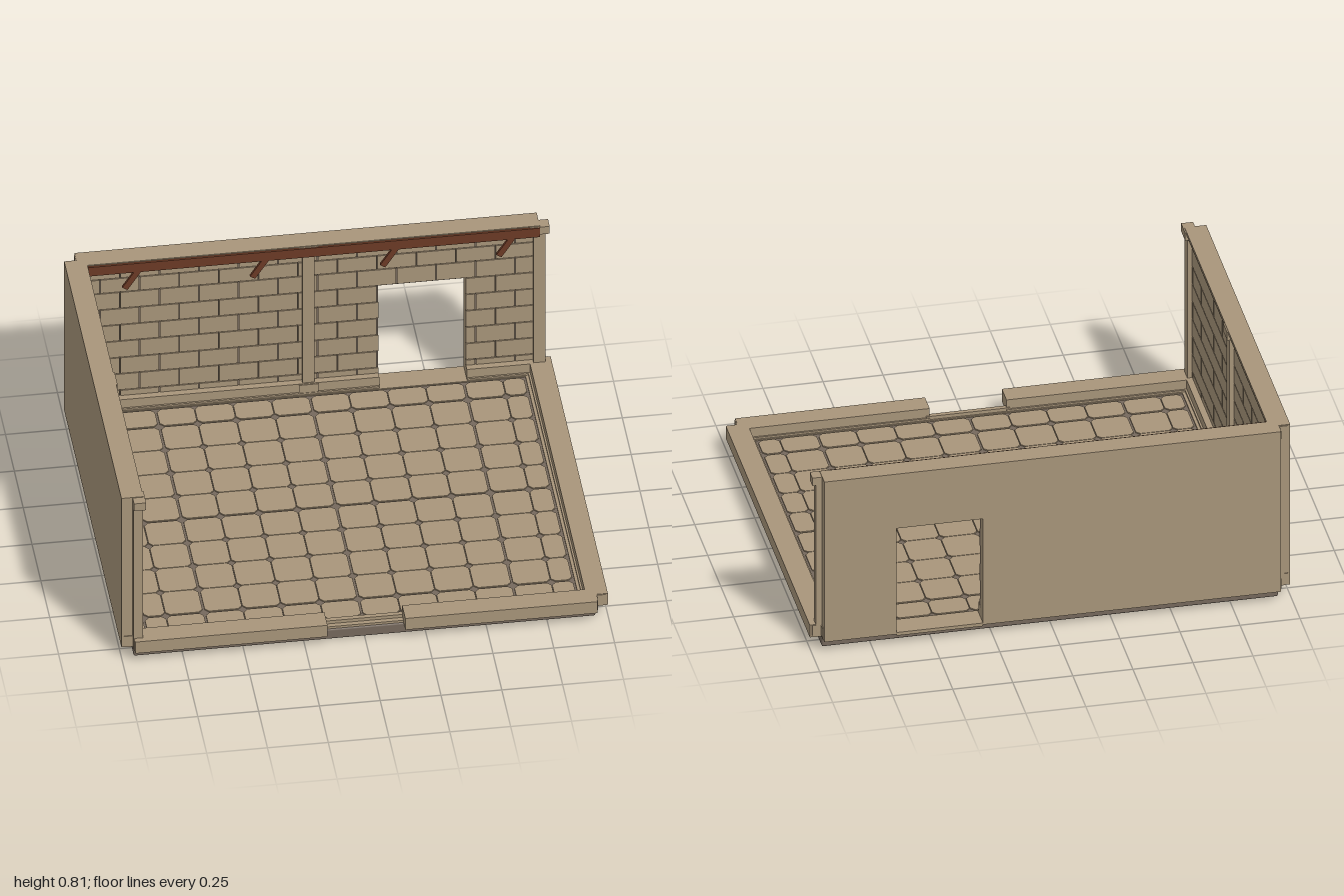
import * as THREE from 'three';
import { mergeGeometries } from 'three/addons/utils/BufferGeometryUtils.js';
import { RoundedBoxGeometry } from 'three/addons/geometries/RoundedBoxGeometry.js';

function material(name, color) {
  const m = new THREE.MeshStandardMaterial({ color });
  m.name = name;
  return m;
}
const stone = material('tan stone', 0xa8957a);
const mortar = material('dark mortar', 0x75685c);
const wood = material('red brown wood', 0x6b3a25);

const HX = 0.95, HZ = 0.81;   // half distances between wall lines
const Y0 = 0.052, CURB = 0.11, TOP = 0.81;
const PITCH = 0.1585;         // floor tile pitch

function add(parent, name, geometry, mat) {
  const mesh = new THREE.Mesh(geometry, mat);
  mesh.name = name;
  parent.add(mesh);
  return mesh;
}
function boxGeo(x0, x1, y0, y1, z0, z1) {
  return new THREE.BoxGeometry(x1 - x0, y1 - y0, z1 - z0)
    .translate((x0 + x1) / 2, (y0 + y1) / 2, (z0 + z1) / 2);
}
const box = (parent, name, mat, ...b) => add(parent, name, boxGeo(...b), mat);

// Flat panel in the xy plane, with an optional doorway cut out
function panelGeo(half, y0, y1, z0, depth, door) {
  const s = new THREE.Shape();
  s.moveTo(-half, y0);
  if (door) {
    s.lineTo(door.x0, y0);
    s.lineTo(door.x0, door.top);
    s.lineTo(door.x1, door.top);
    s.lineTo(door.x1, y0);
  }
  s.lineTo(half, y0);
  s.lineTo(half, y1);
  s.lineTo(-half, y1);
  return new THREE.ExtrudeGeometry(s, { depth, bevelEnabled: false }).translate(0, 0, z0);
}

// Running-bond bricks, cut at the doorway
function bricksGeo(half, seams, door) {
  const gap = 0.002, step = 0.1625, parts = [];
  const brick = (a, b, y0, y1) => {
    if (b - a > 0.012) parts.push(boxGeo(a + gap, b - gap, y0 + gap, y1 - gap, 0.004, 0.014));
  };
  for (let r = 0; r < seams.length - 1; r++) {
    const y0 = seams[r], y1 = seams[r + 1];
    const shift = 0.04 + (r % 2) * step / 2;
    for (let k = -7; k < 7; k++) {
      const a = Math.max(-half, shift + k * step), b = Math.min(half, shift + (k + 1) * step);
      if (door && y0 < door.top - 0.01 && b > door.x0 && a < door.x1) {
        brick(a, Math.min(b, door.x0 + gap), y0, y1);
        brick(Math.max(a, door.x1 - gap), b, y0, y1);
      } else brick(a, b, y0, y1);
    }
  }
  return mergeGeometries(parts);
}

// Low curb: runs along x, inner side +z
function curb(parent, name, x0, x1) {
  box(parent, name, stone, x0, x1, Y0, CURB, -0.05, 0.04);
  box(parent, name + 'Lip', stone, x0, x1, Y0, 0.068, 0.035, 0.048);
}

// Post with optional shaft and cap, lying against the inner side of a wall
function post(parent, x, full) {
  const g = new THREE.Group();
  g.name = full ? 'post' : 'cornerFoot';
  box(g, 'foot', stone, x - 0.04, x + 0.04, 0.06, 0.108, -0.004, 0.046);
  box(g, 'footSole', stone, x - 0.03, x + 0.03, Y0, 0.062, -0.002, 0.04);
  if (full) {
    box(g, 'shaft', stone, x - 0.025, x + 0.025, 0.1, 0.78, -0.004, 0.034);
    box(g, 'cap', stone, x - 0.04, x + 0.04, 0.77, TOP - 0.003, -0.004, 0.046);
  }
  parent.add(g);
}

// Full wall: runs along x, inner side +z
function wall(name, half, seams, door) {
  const g = new THREE.Group();
  g.name = name;
  add(g, 'outerPanel', panelGeo(half, Y0, TOP, -0.05, 0.05, door), stone);
  add(g, 'mortarBacking', panelGeo(half, CURB - 0.01, 0.775, 0, 0.008, door), mortar);
  add(g, 'bricks', bricksGeo(half, seams, door), stone);
  box(g, 'topMoulding', stone, -half, half, 0.77, 0.795, 0, 0.032);
  box(g, 'topBeam', stone, -half, half, 0.795, TOP, -0.01, 0.04);
  if (door) {
    curb(g, 'skirting', -half, door.x0);
    curb(g, 'skirting', door.x1, half);
    box(g, 'doorSill', stone, door.x0, door.x1, 0.045, 0.06, -0.05, 0.05);
  } else curb(g, 'skirting', -half, half);
  for (const x of [-half, 0, half]) post(g, x, true);
  return g;
}

// Square floor tiles with clipped corners
function tilesGeo() {
  const lines = (n, end) => {
    const a = [-end];
    for (let k = -n; k <= n; k++) a.push(k * PITCH);
    return [...a, end];
  };
  const xs = lines(5, 0.885), zs = lines(4, 0.753), parts = [];
  // every fourth line and the border have a wider joint
  const joint = v => (Math.abs(v) > 0.7 && Math.abs(Math.abs(v) - 5 * PITCH) > 0.01) ||
    Math.round(v / PITCH) % 4 === 0 ? 0.0045 : 0.0015;
  for (let i = 0; i < xs.length - 1; i++) for (let j = 0; j < zs.length - 1; j++) {
    const a = xs[i] + joint(xs[i]), b = xs[i + 1] - joint(xs[i + 1]);
    const c = zs[j] + joint(zs[j]), d = zs[j + 1] - joint(zs[j + 1]), q = 0.017;
    const pts = [[a + q, c], [b - q, c], [b, c + q], [b, d - q], [b - q, d], [a + q, d], [a, d - q], [a, c + q]];
    const s = new THREE.Shape(pts.map(p => new THREE.Vector2(...p)));
    parts.push(new THREE.ExtrudeGeometry(s, { depth: 0.007, bevelEnabled: false })
      .rotateX(-Math.PI / 2).translate(0, 0.053, 0));
  }
  return mergeGeometries(parts);
}

export function createModel() {
  const model = new THREE.Group();
  model.name = 'stoneRoom';

  // Base and floor
  const base = add(model, 'baseSlab', new RoundedBoxGeometry(2 * HX, 0.05, 2 * HZ, 2, 0.008), mortar);
  base.position.y = 0.025;
  box(model, 'floorBed', mortar, -0.93, 0.93, 0.045, 0.055, -0.79, 0.79);
  add(model, 'floorTiles', tilesGeo(), stone);
  for (const s of [-1, 1]) {
    box(model, 'floorBorderSide', stone, s * 0.905 - 0.016, s * 0.905 + 0.016, 0.05, 0.06, -0.78, 0.78);
    box(model, 'floorBorderEnd', stone, -0.91, 0.91, 0.05, 0.06, s * 0.77 - 0.013, s * 0.77 + 0.013);
  }

  // Walls
  const rows = [CURB, 0.14, 0.223, 0.306, 0.39, 0.473, 0.556, 0.639];
  const back = wall('backWall', HX, [...rows, 0.71, 0.775], { x0: 0.29, x1: 0.65, top: 0.553 });
  back.position.z = -HZ;
  const side = wall('rightWall', HZ, [...rows, 0.775]);
  side.rotation.y = Math.PI / 2;
  side.position.x = -HX;

  // Wooden rail with slanted pegs on the back wall
  box(back, 'woodenRail', wood, -0.91, HX, 0.76, 0.805, 0.036, 0.05);
  for (const x of [-0.73, -0.205, 0.33, 0.808]) {
    const peg = add(back, 'peg', new THREE.BoxGeometry(0.025, 0.1, 0.012), wood);
    peg.position.set(x, 0.722, 0.043);
    peg.rotation.z = -0.58;
  }

  // Low curbs on the open sides, with an entrance gap in front
  const front = new THREE.Group();
  front.name = 'frontCurb';
  front.rotation.y = Math.PI;
  front.position.z = HZ;
  curb(front, 'curbHalf', -HX, -0.16);
  curb(front, 'curbHalf', 0.16, HX);
  box(front, 'threshold', stone, -0.16, 0.16, 0.045, 0.06, 0.005, 0.05);
  box(front, 'thresholdStep', stone, -0.175, 0.175, 0.055, 0.075, 0.025, 0.045);

  const left = new THREE.Group();
  left.name = 'leftCurb';
  left.rotation.y = -Math.PI / 2;
  left.position.x = HX;
  curb(left, 'curb', -HZ, HZ);

  for (const s of [-1, 1]) {
    post(front, s * HX, false);
    post(left, s * HZ, false);
  }
  model.add(back, side, front, left);
  return model;
}
